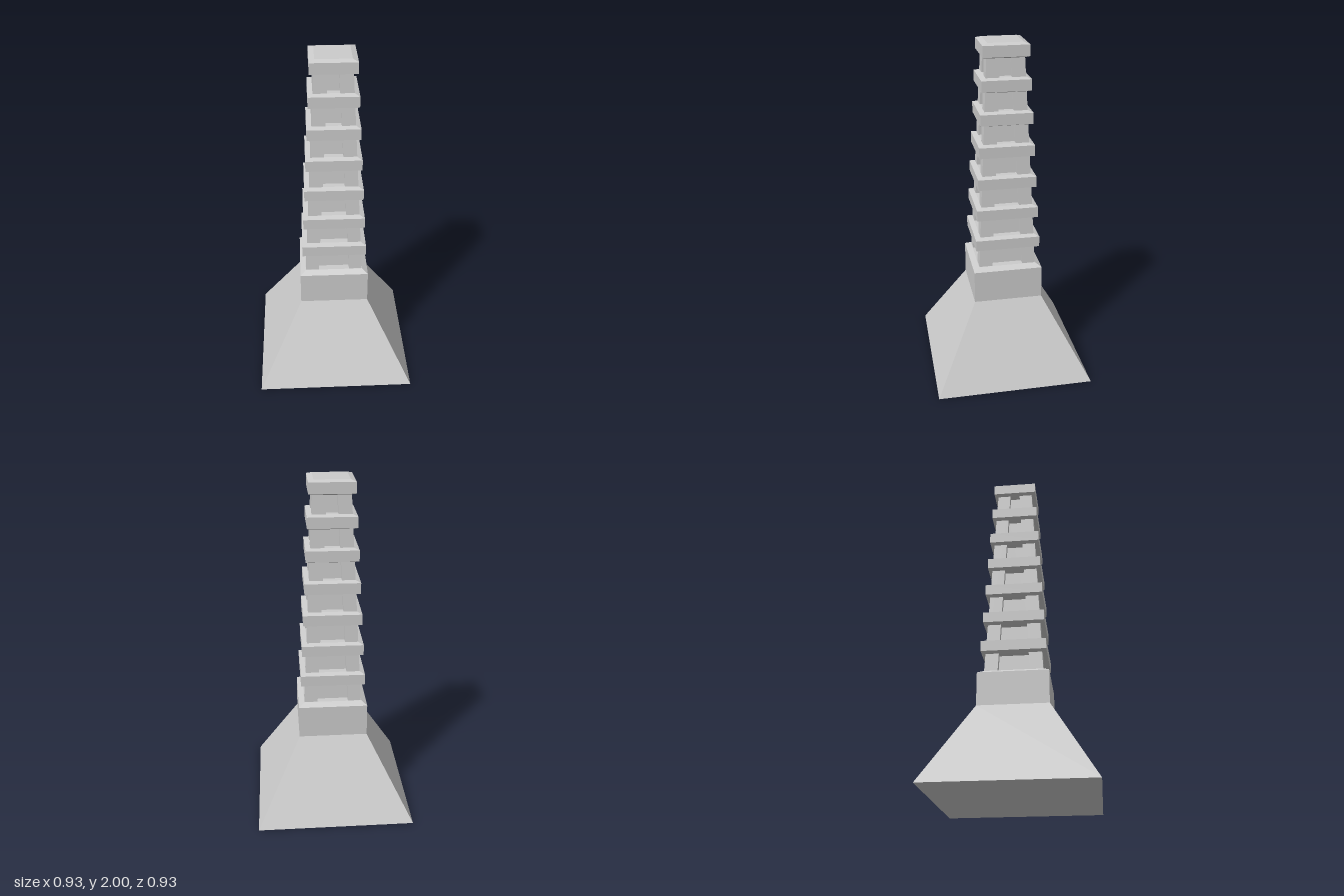
import * as THREE from 'three';

const material = new THREE.MeshStandardMaterial({ color: 0xcccccc, flatShading: true });

// Square solid from a profile of [half width, height] pairs, bottom to top
function squareSolid(name, profile) {
  const points = profile.map(([half, y]) => new THREE.Vector2(half * Math.SQRT2, y));
  const mesh = new THREE.Mesh(new THREE.LatheGeometry(points, 4, Math.PI / 4), material);
  mesh.name = name;
  return mesh;
}

// Square post leaning inward: outer faces run from bottomOuter to topOuter
function leaningPost(sx, sz, y0, y1, bottomOuter, topOuter, width) {
  const geometry = new THREE.BoxGeometry(width, y1 - y0, width);
  geometry.translate(0, (y0 + y1) / 2, 0);
  const pos = geometry.attributes.position;
  for (let i = 0; i < pos.count; i++) {
    const t = (pos.getY(i) - y0) / (y1 - y0);
    const centre = THREE.MathUtils.lerp(bottomOuter, topOuter, t) - width / 2;
    pos.setX(i, pos.getX(i) + sx * centre);
    pos.setZ(i, pos.getZ(i) + sz * centre);
  }
  geometry.computeVertexNormals();
  const mesh = new THREE.Mesh(geometry, material);
  mesh.name = 'cornerPost';
  return mesh;
}

export function createModel() {
  const model = new THREE.Group();
  model.name = 'tower';

  // Flared base with an upright block and a bevelled top
  model.add(squareSolid('base', [
    [0, 0], [0.463, 0], [0.203, 0.48], [0.203, 0.675], [0.17, 0.695], [0, 0.695],
  ]));

  // Recessed tapering core
  model.add(squareSolid('core', [[0, 0.69], [0.13, 0.69], [0.07, 1.95], [0, 1.95]]));

  // Four leaning corner posts
  for (const sx of [-1, 1]) {
    for (const sz of [-1, 1]) {
      model.add(leaningPost(sx, sz, 0.69, 1.95, 0.168, 0.105, 0.077));
    }
  }

  // Seven bevelled slabs, shrinking upwards
  for (let i = 0; i < 7; i++) {
    const top = 0.884 + i * 0.186;
    const half = 0.188 - i * 0.0097;
    model.add(squareSolid('slab', [
      [0, top - 0.084], [half - 0.03, top - 0.084], [half, top - 0.073],
      [half, top - 0.01], [half - 0.03, top], [0, top],
    ]));
  }
  return model;
}
